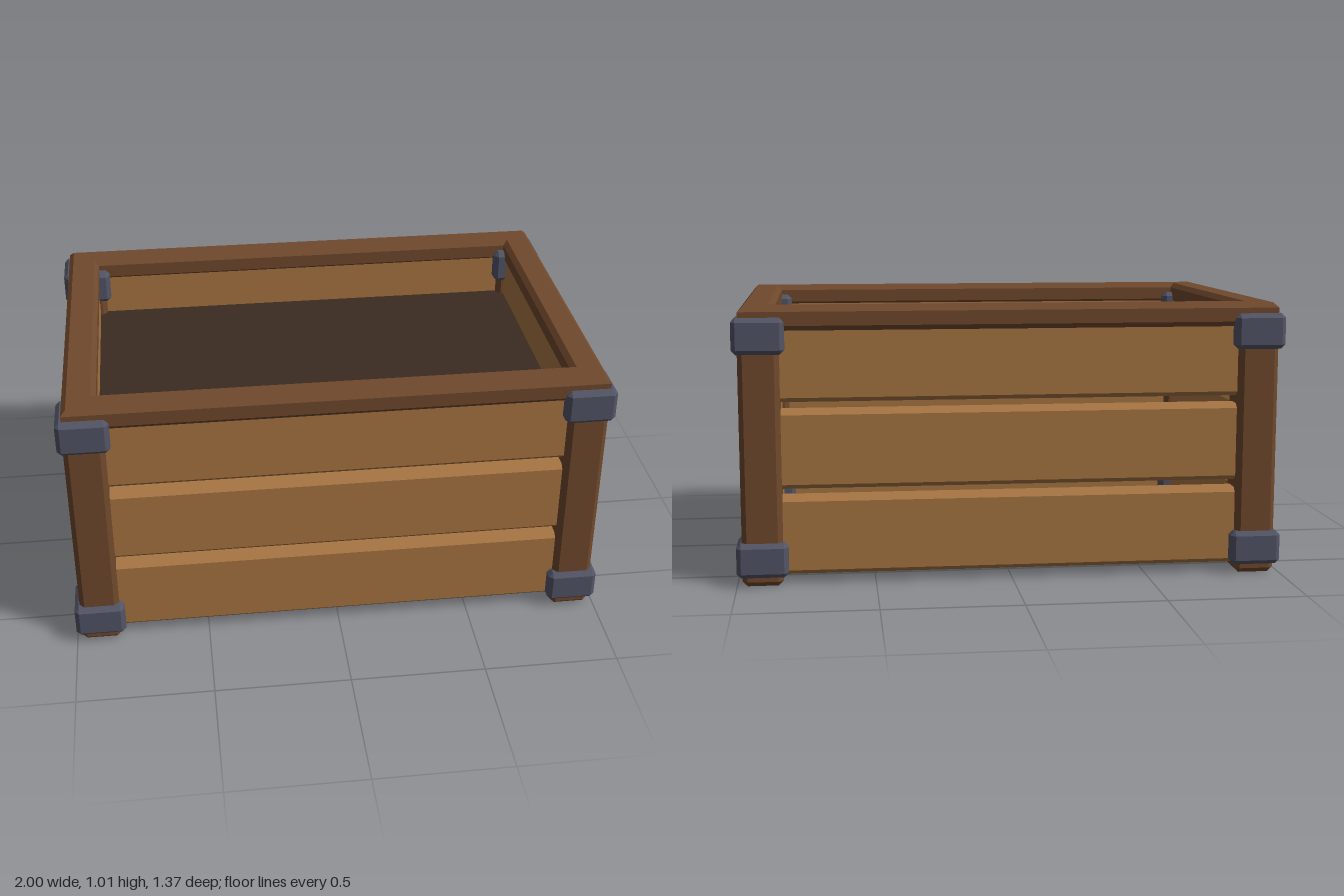
import * as THREE from 'three';
import { ConvexGeometry } from 'three/addons/geometries/ConvexGeometry.js';

const mat = (name, color) => {
  const m = new THREE.MeshStandardMaterial({ color });
  m.name = name;
  return m;
};

// Box with every edge cut at 45 degrees
function chamferBox(w, h, d, c) {
  const points = [];
  for (const sx of [-1, 1]) for (const sy of [-1, 1]) for (const sz of [-1, 1]) {
    const x = w / 2, y = h / 2, z = d / 2;
    for (const [a, b, e] of [[0, c, c], [c, 0, c], [c, c, 0]]) {
      points.push(new THREE.Vector3(sx * (x - a), sy * (y - b), sz * (z - e)));
    }
  }
  return new ConvexGeometry(points);
}

// Mitred rectangular ring with a chamfered section, hx and hz being the half sizes of the opening
function chamferRing(hx, hz, width, y0, y1, c) {
  const section = [
    [c, y0], [width - c, y0], [width, y0 + c], [width, y1 - c],
    [width - c, y1], [c, y1], [0, y1 - c], [0, y0 + c], [c, y0],
  ].map(([d, y]) => new THREE.Vector2((1 + d) * Math.SQRT2, y));
  const geo = new THREE.LatheGeometry(section, 4).rotateY(Math.PI / 4).toNonIndexed();
  const p = geo.attributes.position;
  for (let i = 0; i < p.count; i++) {
    p.setX(i, p.getX(i) + Math.sign(p.getX(i)) * (hx - 1));
    p.setZ(i, p.getZ(i) + Math.sign(p.getZ(i)) * (hz - 1));
  }
  geo.computeVertexNormals();
  return geo;
}

export function createModel() {
  const model = new THREE.Group();
  model.name = 'planterBox';
  const plankWood = mat('plankWood', 0xa87542);
  const frameWood = mat('frameWood', 0x70492c);
  const metal = mat('metal', 0x525566);
  const soilBrown = mat('soilBrown', 0x3b2b22);

  const add = (name, geo, material, x = 0, y = 0, z = 0) => {
    const mesh = new THREE.Mesh(geo, material);
    mesh.name = name;
    mesh.position.set(x, y, z);
    model.add(mesh);
  };

  const px = 0.907, pz = 0.59; // post centres

  // Corner posts with metal brackets at the top and bottom
  const post = chamferBox(0.147, 0.95, 0.147, 0.018);
  const lowBracket = chamferBox(0.186, 0.125, 0.186, 0.016);
  const highBracket = chamferBox(0.186, 0.13, 0.186, 0.016);
  for (const sx of [-1, 1]) for (const sz of [-1, 1]) {
    add('cornerPost', post, frameWood, sx * px, 0.475, sz * pz);
    add('lowerBracket', lowBracket, metal, sx * px, 0.0975, sz * pz);
    add('upperBracket', highBracket, metal, sx * px, 0.905, sz * pz);
  }

  // Three planks on each side with open gaps between them
  const longPlank = chamferBox(2 * px, 0.285, 0.09, 0.016);
  const shortPlank = chamferBox(0.09, 0.285, 2 * pz, 0.016);
  for (let i = 0; i < 3; i++) {
    const y = 0.1775 + i * 0.315;
    for (const s of [-1, 1]) {
      add('longPlank', longPlank, plankWood, 0, y, s * pz);
      add('endPlank', shortPlank, plankWood, s * px, y, 0);
    }
  }

  // Top rim
  add('rim', chamferRing(0.855, 0.537, 0.121, 0.922, 1.008, 0.018), frameWood);

  // Soil slab
  add('soil', new THREE.BoxGeometry(1.73, 0.1, 1.1), soilBrown, 0, 0.725, 0);

  return model;
}
